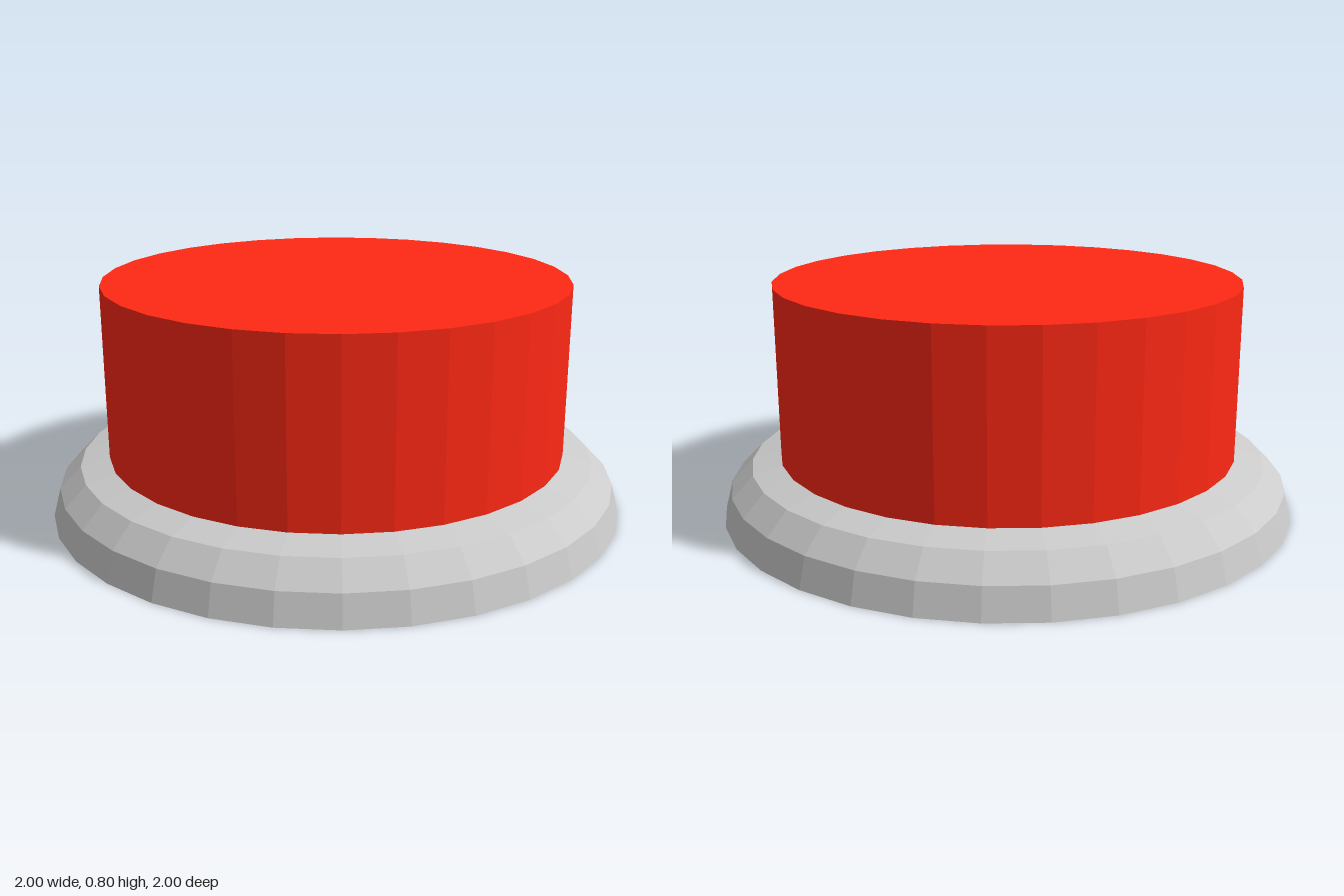
import * as THREE from 'three';

const SIDES = 32;
const BUTTON_RADIUS = 0.8;
const BUTTON_HEIGHT = 0.8;
const RIM = 0.2;

export function createModel() {
  const model = new THREE.Group();
  model.name = 'pushButton';

  // Red push cap, running down to the ground through the base ring
  const cap = new THREE.Mesh(
    new THREE.CylinderGeometry(BUTTON_RADIUS, BUTTON_RADIUS, BUTTON_HEIGHT, SIDES),
    new THREE.MeshStandardMaterial({ color: 0xff2814, flatShading: true })
  );
  cap.name = 'buttonCap';
  cap.position.y = BUTTON_HEIGHT / 2;
  model.add(cap);

  // Base ring: flat underside, then a quarter-round in three steps
  const profile = [new THREE.Vector2(BUTTON_RADIUS, 0)];
  for (let i = 0; i <= 3; i++) {
    const a = (i / 3) * Math.PI / 2;
    profile.push(new THREE.Vector2(BUTTON_RADIUS + RIM * Math.cos(a), RIM * Math.sin(a)));
  }
  const base = new THREE.Mesh(
    new THREE.LatheGeometry(profile, SIDES),
    new THREE.MeshStandardMaterial({ color: 0xcccccc, flatShading: true })
  );
  base.name = 'baseRing';
  model.add(base);

  return model;
}
